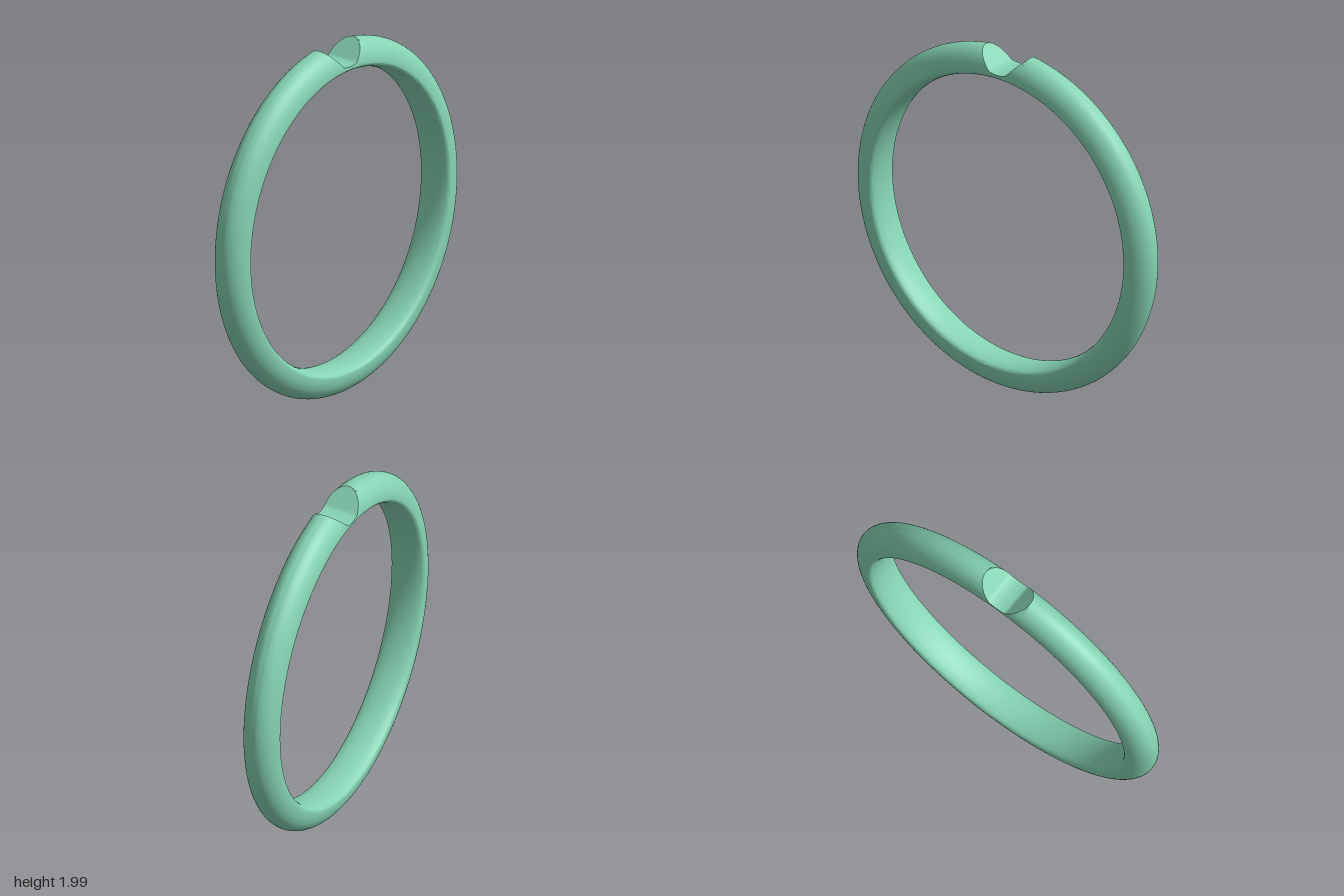
import * as THREE from 'three';
import { mergeVertices, toCreasedNormals } from 'three/addons/utils/BufferGeometryUtils.js';

// Cross-section: domed outside, shallow comfort curve inside
const MID = 0.87, OUTER = 0.13, INNER = 0.035, HALF_WIDTH = 0.1;

// Stations round the ring: angle from the top, and radius of the cut there
function notchStations() {
  const half = [];
  const n = 14, m = 5;
  for (let k = 0; k <= n; k++) { // sloping wall, denser near the rim
    const t = (k / n) ** 2;
    half.push([0.15 - 0.095 * t, 0.9887 - 0.1007 * t]);
  }
  for (let k = 1; k <= m; k++) { // slightly sagging floor
    const s = 1 - k / m;
    half.push([0.055 * s, 0.88 + 0.008 * s * s]);
  }
  const points = [
    ...half.map(([x, y]) => [-x, y]),
    ...half.slice(0, -1).reverse(),
  ];
  return points.map(([x, y]) => ({ angle: Math.atan2(x, y), radius: Math.min(1, Math.hypot(x, y)) }));
}

const cutAngle = (radius) => Math.acos(Math.min(1, (radius - MID) / OUTER));

// Section from the cut on +z, round the inside, to the cut on -z
function bandSection({ radius }) {
  const start = cutAngle(radius);
  const half = [];
  for (let k = 0; k <= 16; k++) {
    const a = start + (Math.PI / 2 - start) * k / 16;
    half.push([MID + OUTER * Math.cos(a), HALF_WIDTH * Math.sin(a)]);
  }
  const inside = [];
  for (let k = 1; k < 24; k++) {
    const a = Math.PI * k / 24;
    inside.push([MID - INNER * Math.sin(a), HALF_WIDTH * Math.cos(a)]);
  }
  return [...half, ...inside, ...half.slice().reverse().map(([r, z]) => [r, -z])];
}

// Straight line across the cut
function notchSection({ radius }) {
  const z = HALF_WIDTH * Math.sin(cutAngle(radius));
  return [[radius, -z], [radius, z]];
}

// Skin a surface over the sections at the given stations
function sweep(stations, section) {
  const positions = [], index = [];
  let cols = 0;
  stations.forEach((station) => {
    const points = section(station);
    cols = points.length;
    for (const [r, z] of points) {
      positions.push(r * Math.sin(station.angle), 1 + r * Math.cos(station.angle), z);
    }
  });
  for (let i = 0; i < stations.length - 1; i++) {
    for (let j = 0; j < cols - 1; j++) {
      const a = i * cols + j, b = a + cols;
      index.push(a, a + 1, b, a + 1, b + 1, b);
    }
  }
  const geometry = new THREE.BufferGeometry();
  geometry.setAttribute('position', new THREE.Float32BufferAttribute(positions, 3));
  geometry.setIndex(index);
  return toCreasedNormals(mergeVertices(geometry, 1e-5), 0.6);
}

export function createModel() {
  const group = new THREE.Group();
  group.name = 'notchedRing';
  const material = new THREE.MeshStandardMaterial({ color: 0x86d4b4 });

  const notch = notchStations();
  const from = notch[notch.length - 1].angle;
  const to = notch[0].angle + Math.PI * 2;
  const rest = [];
  const steps = 160;
  for (let k = 1; k <= steps; k++) {
    rest.push({ angle: from + (to - from) * k / steps, radius: 1 });
  }

  // Ring band, open where the notch is cut
  const band = new THREE.Mesh(sweep([...notch, ...rest], bandSection), material);
  band.name = 'band';

  // Walls and floor of the notch
  const cut = new THREE.Mesh(sweep(notch, notchSection), material);
  cut.name = 'notchSurface';

  group.add(band, cut);
  return group;
}
